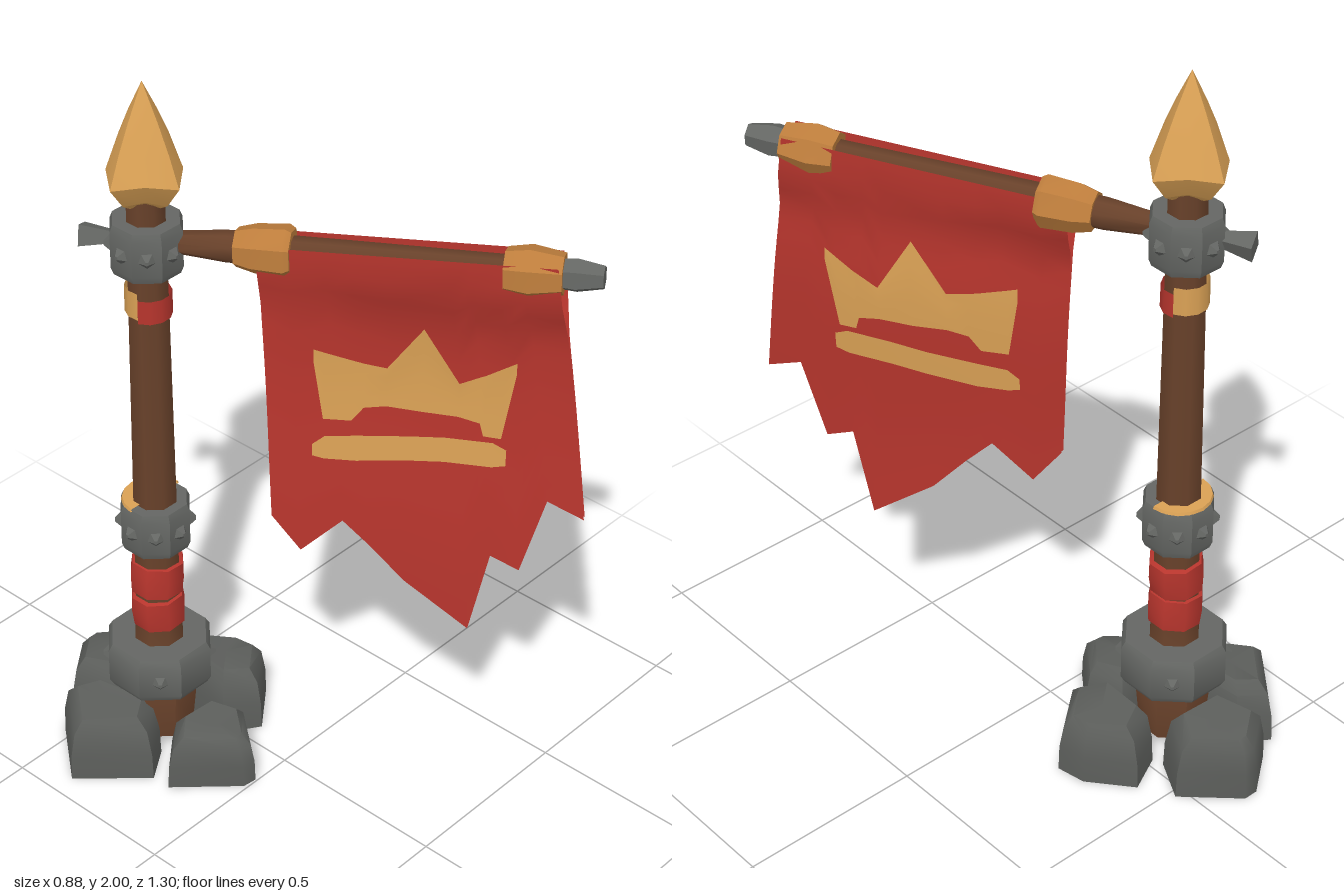
import * as THREE from 'three';
import { toCreasedNormals } from 'three/addons/utils/BufferGeometryUtils.js';

const mat = (name, color) => new THREE.MeshStandardMaterial({ name, color });

function add(parent, name, geo, material, x = 0, y = 0, z = 0) {
  const m = new THREE.Mesh(geo, material);
  m.name = name;
  m.position.set(x, y, z);
  parent.add(m);
  return m;
}

// Turned profile [radius, y]; edges sharper than the crease angle stay hard
const turned = (profile, sides, crease = 0.6) => toCreasedNormals(
  new THREE.LatheGeometry(profile.map(p => new THREE.Vector2(...p)), sides, Math.PI / 8), crease);

// Rough stone from a footprint [x, z], tapering up and sloping away from the post
function stoneGeometry(points, height) {
  const n = points.length, pos = [], idx = [];
  const cx = points.reduce((s, p) => s + p[0], 0) / n;
  const cz = points.reduce((s, p) => s + p[1], 0) / n;
  const levels = [[0, 1], [0.4, 0.98], [0.78, 0.88], [0.96, 0.66]];
  for (const [h, s] of levels) {
    for (const [x, z] of points) {
      const px = cx + (x - cx) * s, pz = cz + (z - cz) * s;
      const out = Math.hypot(px + 0.13, pz + 0.33);
      pos.push(px, h * height * (1.12 - 0.7 * Math.max(0, out - 0.1) * h), pz);
    }
  }
  pos.push(cx, height, cz, cx, 0, cz);
  const top = levels.length * n, bottom = top + 1;
  for (let i = 0; i < n; i++) {
    const j = (i + 1) % n;
    for (let l = 0; l < levels.length - 1; l++) {
      const a = l * n + i, b = l * n + j;
      idx.push(a, b, a + n, b, b + n, a + n);
    }
    idx.push(top - n + i, top - n + j, top, i, bottom, j);
  }
  const g = new THREE.BufferGeometry();
  g.setAttribute('position', new THREE.Float32BufferAttribute(pos, 3));
  g.setIndex(idx);
  return toCreasedNormals(g, 0.85);
}

// Cloth surface: distance from the arm's plane at (u, y) on one side
function clothZ(u, y, side, lift) {
  const { smoothstep, lerp } = THREE.MathUtils;
  const wave = -0.02 * Math.sin(Math.PI * (u - 0.27) / 0.85) * smoothstep(1.57 - y, 0, 0.3);
  const drift = 0.03 * smoothstep(1.3 - y, 0, 0.6)
    + 0.015 * smoothstep(0.7 - u, 0, 0.4) * smoothstep(1.55 - y, 0, 0.15);
  return wave + drift + side * (lerp(0.007, 0.044, smoothstep(y, 1.42, 1.56)) + lift);
}

// Sheet following the cloth, from columns [topU, topY, bottomU, bottomY]
function sheet(cols, rows, side, lift) {
  const pos = [], idx = [], w = rows + 1;
  cols.forEach(([tu, ty, bu, by], c) => {
    for (let r = 0; r <= rows; r++) {
      const t = r / rows, u = tu + (bu - tu) * t, y = ty + (by - ty) * t;
      pos.push(u, y, clothZ(u, y, side, lift));
      if (c && r) {
        const d = c * w + r, b = d - w;
        const quad = [b - 1, b, d - 1, d - 1, b, d];
        idx.push(...(side > 0 ? quad : quad.reverse()));
      }
    }
  });
  const g = new THREE.BufferGeometry();
  g.setAttribute('position', new THREE.Float32BufferAttribute(pos, 3));
  g.setIndex(idx);
  g.computeVertexNormals();
  return g;
}

export function createModel() {
  const stone = mat('stone grey', 0x5c5e5b);
  const iron = mat('iron grey', 0x646663);
  const wood = mat('brown wood', 0x68412a);
  const red = mat('red cloth', 0xb7352d);
  red.side = THREE.DoubleSide;
  const gold = mat('gold', 0xdaa155);
  gold.side = THREE.DoubleSide;
  const brass = mat('dark brass', 0xbd7d3c);

  const model = new THREE.Group();
  model.name = 'bannerStand';

  // Four foot stones: height and footprint
  const stones = [
    [0.18, [[-0.25, -0.56], [-0.2, -0.42], [-0.03, -0.41], [0.03, -0.52], [-0.1, -0.645], [-0.14, -0.645]]],
    [0.18, [[-0.44, -0.37], [-0.29, -0.21], [-0.2, -0.27], [-0.23, -0.48], [-0.31, -0.53]]],
    [0.18, [[-0.02, -0.38], [-0.03, -0.2], [0.06, -0.14], [0.185, -0.24], [0.17, -0.32], [0.08, -0.43]]],
    [0.15, [[-0.29, -0.155], [-0.15, -0.01], [-0.11, -0.005], [-0.02, -0.12], [-0.06, -0.22], [-0.2, -0.23]]],
  ];
  for (const [height, points] of stones) add(model, 'footStone', stoneGeometry(points, height), stone);

  const post = new THREE.Group();
  post.name = 'post';
  post.position.set(-0.135, 0, -0.33);
  model.add(post);

  // Wooden pole with flared foot
  add(post, 'pole', turned([[0, 0.05], [0.09, 0.05], [0.105, 0.2], [0.075, 0.26], [0.064, 0.4], [0.06, 0.8],
    [0.054, 1.4], [0.051, 1.7], [0, 1.7]], 8, 0.9), wood);

  // Iron rings with low pointed studs: y, height, radius, stud count, first stud angle
  const rings = [[0.28, 0.135, 0.146, 4, Math.PI / 4], [0.722, 0.138, 0.096, 8, 0], [1.56, 0.138, 0.096, 8, 0]];
  const studGeo = toCreasedNormals(new THREE.CylinderGeometry(0.006, 0.03, 0.024, 5), 0.4);
  for (const [y, h, r, count, start] of rings) {
    const ring = new THREE.Group();
    ring.name = 'ironRing';
    ring.position.y = y;
    post.add(ring);
    const t = h / 2;
    add(ring, 'ringBand', turned([[0.04, -t], [r * 0.92, -t], [r, -t + 0.02], [r, t - 0.02], [r * 0.92, t], [0.04, t]], 8), iron);
    for (let i = 0; i < count; i++) {
      const a = start + i * Math.PI * 2 / count, d = r * 0.924 + 0.004;
      const stud = add(ring, 'stud', studGeo, iron, Math.sin(a) * d, 0, Math.cos(a) * d);
      stud.rotation.set(Math.PI / 2, a, 0, 'YXZ');
    }
  }
  // Gold inlay on the back of the middle ring's top
  add(post, 'ringInlay', new THREE.CylinderGeometry(0.085, 0.088, 0.008, 8, 1, false, Math.PI / 2, Math.PI), gold, 0, 0.794, 0);

  // Cloth wraps on the pole
  for (const [y, tilt] of [[0.445, 0.06], [0.55, -0.07]]) {
    const wrap = add(post, 'clothWrap', turned([[0.055, -0.052], [0.071, -0.046], [0.075, 0], [0.071, 0.044], [0.055, 0.05]],
      8, 0.9), red, 0, y, 0);
    wrap.rotation.z = tilt;
  }
  add(post, 'upperWrapFront', new THREE.CylinderGeometry(0.059, 0.06, 0.065, 6, 1, true, -Math.PI * 0.4, Math.PI), red, 0, 1.39, 0);
  add(post, 'upperWrapBack', new THREE.CylinderGeometry(0.059, 0.06, 0.075, 6, 1, true, Math.PI * 0.6, Math.PI), gold, 0, 1.405, 0);

  // Spear head: four raised ridges and a scalloped lower edge
  const head = new THREE.LatheGeometry([[0, 1.675], [0.052, 1.675], [0.075, 1.69], [0.116, 1.75], [0.085, 1.83],
    [0.05, 1.905], [0, 2]].map(p => new THREE.Vector2(...p)), 8);
  const hp = head.attributes.position;
  for (let i = 0; i < hp.count; i++) {
    if (Math.min(Math.abs(hp.getX(i)), Math.abs(hp.getZ(i))) > 0.01) {
      hp.setXYZ(i, hp.getX(i) * 0.8, hp.getY(i) + (hp.getY(i) < 1.8 ? 0.015 : 0), hp.getZ(i) * 0.8);
    }
  }
  add(post, 'spearHead', toCreasedNormals(head, 0.4), gold);

  // Arm assembly, local x runs outwards along the arm
  const arm = new THREE.Group();
  arm.name = 'bannerArm';
  arm.rotation.y = -1.058;
  post.add(arm);
  const armY = u => 1.567 + 0.045 * u;
  const along = (name, profile, sides, material, crease) => {
    const u0 = profile[0][1];
    const m = add(arm, name, turned(profile.map(([r, u]) => [r, u - u0]), sides, crease), material, u0, armY(u0), 0);
    m.rotation.z = -Math.PI / 2 + 0.045;
  };
  along('armRod', [[0, 0.05], [0.026, 0.05], [0.04, 0.2], [0.039, 0.5], [0.037, 0.8], [0.036, 1.02], [0, 1.02]], 8, wood, 0.9);
  along('innerCollar', [[0.03, 0.225], [0.05, 0.225], [0.062, 0.27], [0.067, 0.35], [0.058, 0.365], [0.03, 0.365]], 7, brass);
  along('outerCollar', [[0.03, 0.88], [0.056, 0.88], [0.066, 0.94], [0.052, 1.02], [0.03, 1.02]], 7, brass);
  along('armTip', [[0, 1.0], [0.038, 1.0], [0.043, 1.05], [0.03, 1.115], [0, 1.115]], 6, iron);
  along('armTail', [[0, -0.165], [0.038, -0.165], [0.02, -0.08], [0, -0.08]], 4, iron);

  // Ragged hanging cloth, one sheet on each side of the arm
  const hem = [[0.32, 0.82], [0.395, 0.72], [0.5, 0.82], [0.57, 0.75], [0.66, 0.65], [0.83, 0.525],
    [0.88, 0.77], [0.955, 0.74], [1.015, 0.96], [1.11, 0.925]];
  const cloth = hem.map(([u, y]) => {
    const t = (u - 0.32) / 0.79;
    return [0.28 + 0.73 * t, 1.61 + 0.04 * t, u, y];
  });
  // Crown and bar as columns [u, top, bottom]
  const crown = [[0.42, 1.32, 1.28], [0.445, 1.313, 1.12], [0.515, 1.295, 1.12], [0.545, 1.288, 1.16], [0.6, 1.28, 1.17],
    [0.69, 1.41, 1.165], [0.78, 1.26, 1.165], [0.835, 1.29, 1.155], [0.845, 1.295, 1.12], [0.89, 1.325, 1.12], [0.92, 1.345, 1.31]];
  const bar = [[0.42, 1.045, 1.012], [0.45, 1.07, 1.005], [0.53, 1.078, 1.005], [0.66, 1.09, 1.02], [0.75, 1.1, 1.03],
    [0.87, 1.105, 1.035], [0.905, 1.09, 1.045]];
  const columns = list => list.map(([u, t, b]) => [u, t, u, b]);
  for (const side of [1, -1]) {
    add(arm, 'bannerCloth', sheet(cloth, 14, side, 0), red);
    add(arm, 'crownEmblem', sheet(columns(crown), 4, side, 0.006), gold);
    add(arm, 'emblemBar', sheet(columns(bar), 2, side, 0.006), gold);
  }
  return model;
}
